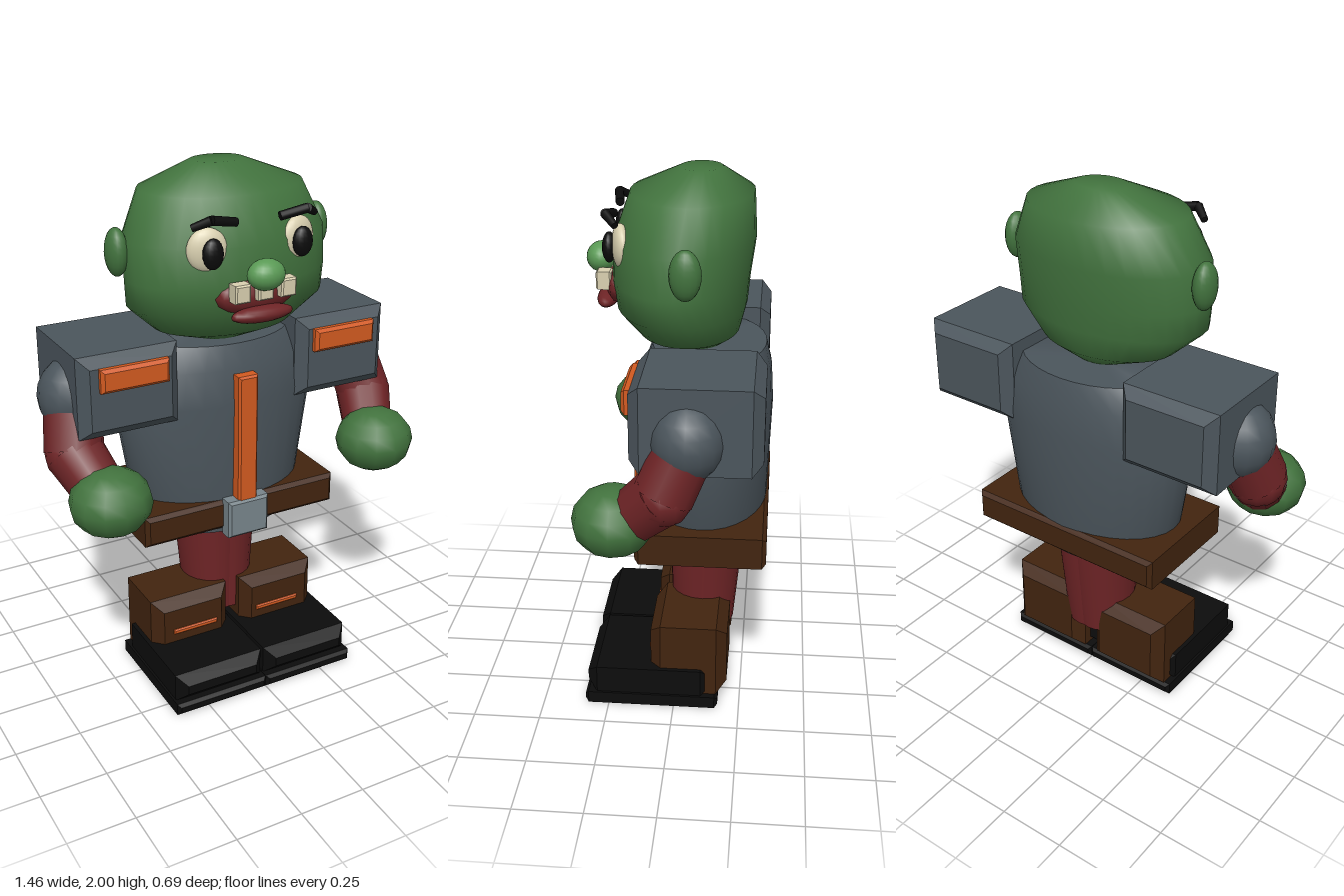
import * as THREE from 'three';
import { mergeVertices, toCreasedNormals } from 'three/addons/utils/BufferGeometryUtils.js';

const mat = (name, color) => {
  const m = new THREE.MeshStandardMaterial({ color });
  m.name = name;
  return m;
};

export function createModel() {
  const skin = mat('skin green', 0x42733e);
  const noseGreen = mat('nose green', 0x5a9a55);
  const armour = mat('armour grey', 0x4b555c);
  const steel = mat('buckle grey', 0x78858b);
  const red = mat('cloth red', 0x6e2426);
  const brown = mat('leather brown', 0x42240f);
  const orange = mat('trim orange', 0xd25a20);
  const black = mat('black', 0x0c0c0c);
  const ivory = mat('ivory', 0xd9d0b0);

  const model = new THREE.Group();
  model.name = 'figure';

  const add = (name, geometry, material) => {
    const mesh = new THREE.Mesh(geometry, material);
    mesh.name = name;
    model.add(mesh);
    return mesh;
  };

  // Box with chamfered edges, given by its limits on each axis
  const box = (name, material, [x0, x1], [y0, y1], [z0, z1], c = 0.01) => {
    const w = (x1 - x0) / 2 - c, h = (y1 - y0) / 2 - c, d = z1 - z0 - 2 * c;
    const s = new THREE.Shape();
    s.moveTo(-w, -h).lineTo(w, -h).lineTo(w, h).lineTo(-w, h).closePath();
    const g = new THREE.ExtrudeGeometry(s, {
      depth: d, bevelEnabled: true, bevelThickness: c, bevelSize: c, bevelSegments: 1,
    });
    g.translate((x0 + x1) / 2, (y0 + y1) / 2, z0 + c);
    return add(name, g, material);
  };

  // Closed body through elliptical rings [y, radiusX, radiusZ, centreZ], bottom to top
  const loft = (name, material, rings, crease, cx = 0, sides = 32) => {
    const first = rings[0], last = rings[rings.length - 1];
    const all = [[first[0], 0, 0, first[3]], ...rings, [last[0], 0, 0, last[3]]];
    let g = new THREE.LatheGeometry(all.map((r) => new THREE.Vector2(1, r[0])), sides);
    const p = g.attributes.position;
    for (let i = 0; i < p.count; i++) {
      const [y, rx, rz, cz] = all[i % all.length];
      p.setXYZ(i, cx + p.getX(i) * rx, y, cz + p.getZ(i) * rz);
    }
    g.deleteAttribute('uv');
    g.deleteAttribute('normal');
    g = mergeVertices(g, 1e-5);
    g.computeVertexNormals();
    return add(name, crease ? toCreasedNormals(g, crease) : g, material);
  };

  const ball = (name, material, centre, radii, ws = 20, hs = 14) => {
    const g = new THREE.SphereGeometry(1, ws, hs).scale(...radii);
    const mesh = add(name, g, material);
    mesh.position.set(...centre);
    return mesh;
  };

  // Tapered limb between two points
  const limb = (name, material, a, b, ra, rb) => {
    const from = new THREE.Vector3(...a), to = new THREE.Vector3(...b);
    const dir = to.clone().sub(from);
    const mesh = add(name, new THREE.CylinderGeometry(rb, ra, dir.length(), 12), material);
    mesh.position.copy(from).add(to).multiplyScalar(0.5);
    mesh.quaternion.setFromUnitVectors(new THREE.Vector3(0, 1, 0), dir.normalize());
  };

  // Head
  loft('head', skin, [
    [1.36, 0.1, 0.09, -0.06], [1.42, 0.27, 0.185, -0.03], [1.52, 0.38, 0.235, -0.005],
    [1.62, 0.385, 0.247, -0.002], [1.76, 0.385, 0.253, -0.015],
    [1.92, 0.31, 0.22, -0.04], [2.0, 0.1, 0.075, -0.07],
  ], 0);

  // Torso, belt and front trim
  loft('torso', armour, [
    [0.61, 0.29, 0.21, -0.09], [0.76, 0.35, 0.232, -0.098],
    [1.14, 0.41, 0.243, -0.1], [1.28, 0.385, 0.235, -0.1], [1.365, 0.3, 0.21, -0.105],
  ], 0.95);
  box('belt', brown, [-0.405, 0.405], [0.635, 0.755], [-0.338, 0.14], 0.015);
  box('buckle', steel, [-0.085, 0.085], [0.615, 0.765], [0.12, 0.188], 0.01);
  box('frontStripe', orange, [-0.04, 0.04], [0.75, 1.26], [0.09, 0.18], 0.008);

  // Nose, mouth and teeth
  ball('nose', noseGreen, [0, 1.67, 0.288], [0.07, 0.055, 0.055]);
  ball('mouth', red, [0, 1.585, 0.215], [0.16, 0.072, 0.055], 12, 8);
  ball('lowerLip', red, [0, 1.525, 0.265], [0.122, 0.03, 0.04], 16, 10);
  for (const x of [-0.09, 0, 0.09]) {
    box('tooth', ivory, [x - 0.03, x + 0.03], [1.58, 1.645], [0.24, 0.295], 0.006);
  }

  // Everything that comes in pairs
  for (const s of [1, -1]) {
    const side = s > 0 ? 'left' : 'right';
    const span = (a, b) => (s > 0 ? [a, b] : [-b, -a]);

    // Face
    ball(side + 'Ear', skin, [s * 0.405, 1.72, -0.045], [0.04, 0.087, 0.055], 16, 12);
    const eye = ball(side + 'Eye', ivory, [s * 0.178, 1.755, 0.195], [0.072, 0.078, 0.032]);
    eye.rotation.y = s * 0.25;
    ball(side + 'Pupil', black, [s * 0.175, 1.75, 0.235], [0.039, 0.054, 0.025], 14, 10);
    const brow = [[0.085, 1.848, 0.23], [0.185, 1.868, 0.245], [0.238, 1.84, 0.205]]
      .map(([x, y, z]) => [s * x, y, z]);
    limb(side + 'BrowInner', black, brow[0], brow[1], 0.016, 0.017);
    limb(side + 'BrowOuter', black, brow[1], brow[2], 0.017, 0.013);

    // Shoulder pad and arm
    box(side + 'ShoulderPad', armour, span(0.245, 0.63), [1.105, 1.412], [-0.322, 0.127], 0.038);
    box(side + 'PadTrim', orange, span(0.3, 0.56), [1.287, 1.375], [0.1, 0.155], 0.012);
    ball(side + 'Shoulder', armour, [s * 0.575, 1.215, -0.07], [0.137, 0.145, 0.13], 16, 10);
    limb(side + 'UpperArm', red, [s * 0.59, 1.19, -0.06], [s * 0.62, 1.03, 0.01], 0.105, 0.108);
    ball(side + 'Elbow', red, [s * 0.62, 1.025, 0.01], [0.108, 0.105, 0.105], 12, 8);
    limb(side + 'Forearm', red, [s * 0.62, 1.03, 0.01], [s * 0.57, 0.91, 0.13], 0.108, 0.095);
    ball(side + 'Hand', skin, [s * 0.56, 0.897, 0.187], [0.152, 0.125, 0.147], 12, 8);

    // Leg, boot and shoe
    loft(side + 'Leg', red, [
      [0.2, 0.11, 0.12, -0.09], [0.62, 0.143, 0.147, -0.103],
    ], 0.95, s * 0.023, 20);
    box(side + 'Boot', brown, span(0.03, 0.36), [0.05, 0.34], [-0.2, 0.092], 0.04);
    box(side + 'BootTrim', orange, span(0.09, 0.28), [0.193, 0.214], [0.08, 0.1], 0.005);
    box(side + 'Shoe', black, span(0.006, 0.376), [0.045, 0.158], [-0.14, 0.333], 0.038);
    box(side + 'Sole', black, span(0.001, 0.385), [0.003, 0.05], [-0.168, 0.34], 0.012);
  }

  return model;
}
